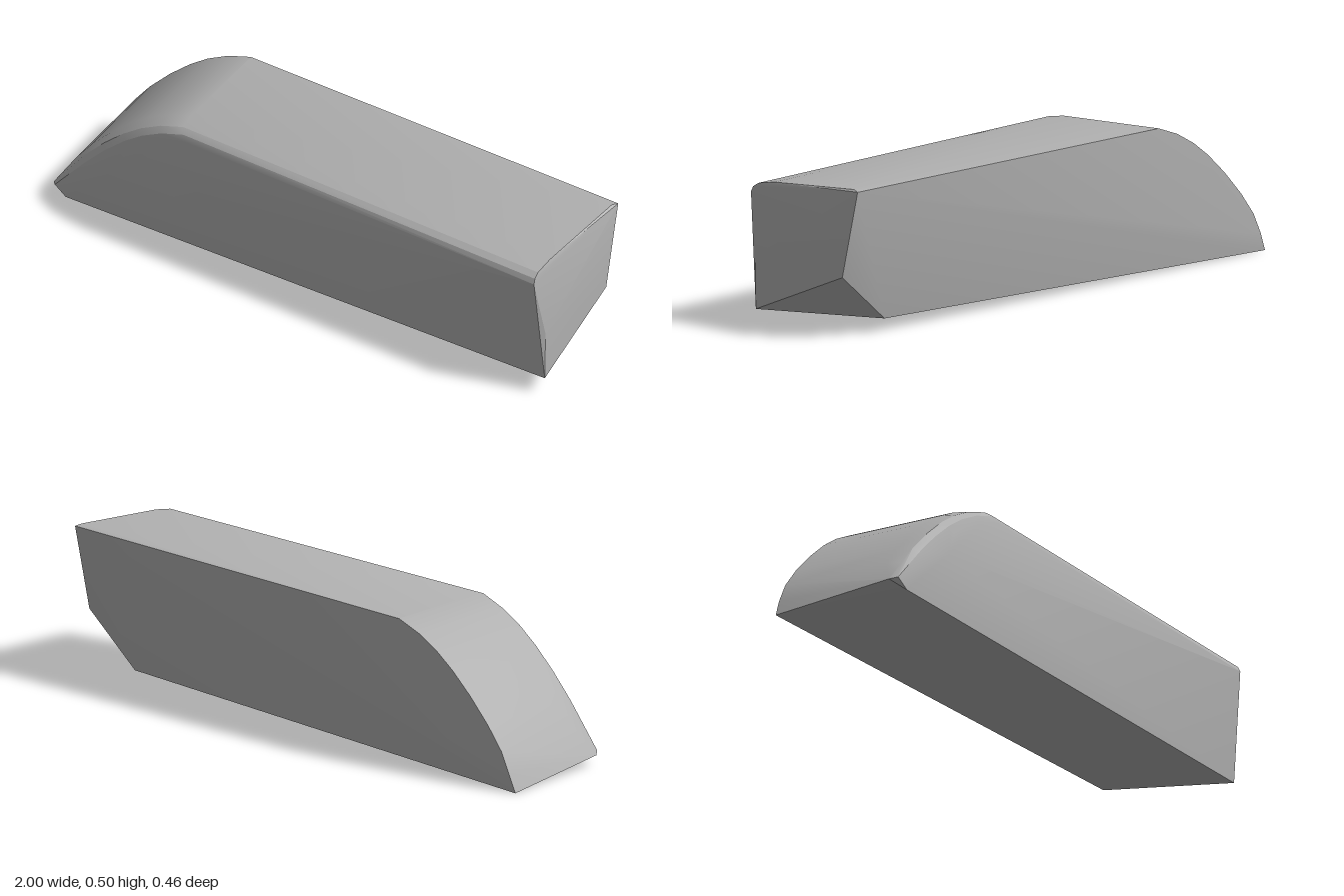
import * as THREE from 'three';
import { ConvexGeometry } from 'three/addons/geometries/ConvexGeometry.js';
import { toCreasedNormals } from 'three/addons/utils/BufferGeometryUtils.js';

export function createModel() {
  const group = new THREE.Group();
  group.name = 'roundedWedge';
  const grey = new THREE.MeshStandardMaterial({ color: 0xb0b0b0 });
  grey.name = 'grey';

  const points = [];
  const add = (x, y, z) => points.push(new THREE.Vector3(x, y, z));

  // Curved nose: each row is x and y on the back edge, rising to the flat top
  const nose = [[-0.975, 0.06], [-0.94, 0.13], [-0.88, 0.205], [-0.8, 0.287],
    [-0.72, 0.357], [-0.65, 0.407], [-0.57, 0.45], [-0.48, 0.482]];
  nose.forEach(([x, y], i) => {
    const t = (i + 1) / nose.length;
    add(x, y, -0.229);
    // rounded front shoulder, narrower toward the tip
    add(x + 0.035, y - 0.005, 0.14 + 0.01 * t);
    add(x + 0.045, y - 0.013, 0.194 + 0.011 * t);
    add(x + 0.06, y - 0.026, 0.208 + 0.017 * t);
    add(x + 0.08, y - 0.045, 0.212 + 0.02 * t);
  });

  // Tip and lower front edge
  add(-1, 0, -0.225);
  add(-0.96, 0.035, 0.19);
  add(-0.94, 0.044, 0.212);
  add(-0.68, 0.22, 0.232);

  // Top edges at the square end
  add(0.972, 0.505, -0.205);
  add(0.98, 0.5, -0.228);
  add(0.972, 0.482, 0.137);
  add(0.974, 0.47, 0.205);
  add(0.976, 0.457, 0.225);
  add(0.978, 0.44, 0.233);

  // Square end with its cut lower back corner
  add(0.998, 0.235, 0.197);
  add(0.995, 0.06, 0.197);
  add(0.98, 0.21, -0.162);
  add(0.775, 0.044, -0.162);

  const body = new THREE.Mesh(toCreasedNormals(new ConvexGeometry(points), 0.4), grey);
  body.name = 'body';
  group.add(body);
  return group;
}
